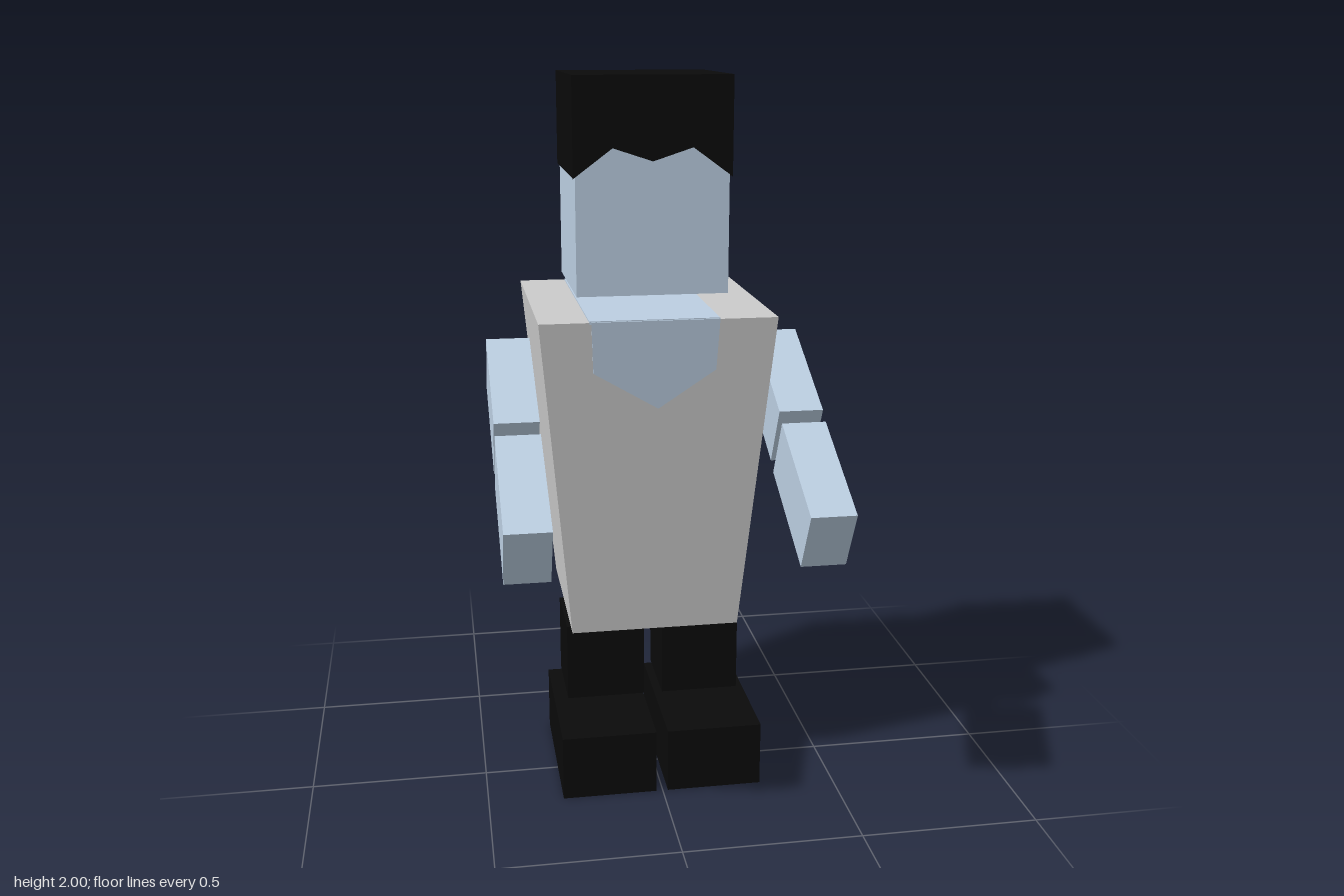
import * as THREE from 'three';

const material = (color) => new THREE.MeshStandardMaterial({ color, flatShading: true });

export function createModel() {
  const model = new THREE.Group();
  const grey = material(0xcccccc), skin = material(0xbccfe2), black = material(0x0a0a0a);

  const add = (name, geometry, mat) => {
    const mesh = new THREE.Mesh(geometry, mat);
    mesh.name = name;
    model.add(mesh);
    return mesh;
  };
  // Box given by its extents on each axis
  const block = (name, [x0, x1], [y0, y1], [z0, z1], mat) => {
    const mesh = add(name, new THREE.BoxGeometry(x1 - x0, y1 - y0, z1 - z0), mat);
    mesh.position.set((x0 + x1) / 2, (y0 + y1) / 2, (z0 + z1) / 2);
    return mesh;
  };
  // Flat plate cut from an outline of [x, y] points
  const plate = (name, points, depth, mat) => {
    const shape = new THREE.Shape(points.map(([x, y]) => new THREE.Vector2(x, y)));
    return add(name, new THREE.ExtrudeGeometry(shape, { depth, bevelEnabled: false }), mat);
  };

  // Torso: a box that widens towards the shoulders
  const torso = new THREE.BoxGeometry(1, 1, 1);
  const p = torso.attributes.position;
  for (let i = 0; i < p.count; i++) {
    const top = p.getY(i) > 0, right = p.getX(i) < 0, back = p.getZ(i) < 0;
    p.setXYZ(i,
      top ? (right ? -0.328 : 0.31) : (right ? -0.245 : 0.23),
      top ? 1.38 : 0.472,
      top ? (back ? -0.495 : 0.172) : (back ? -0.41 : 0.092));
  }
  torso.computeVertexNormals();
  add('torso', torso, grey);

  // Open collar: a strip over the shoulders and a pointed panel on the chest
  block('collarTop', [-0.195, 0.152], [1.375, 1.384], [-0.49, 0.172], skin);
  const chest = plate('chestPanel',
    [[-0.19, 0], [-0.185, -0.14], [-0.01, -0.245], [0.145, -0.14], [0.152, 0]], 0.008, skin);
  chest.position.set(0, 1.382, 0.168);
  chest.rotation.x = Math.atan2(0.08, 0.908);

  // Head
  block('head', [-0.214, 0.199], [1.425, 1.9], [-0.367, 0.046], skin);

  // Hair: cap with a zigzag fringe and a pointed nape
  block('hair', [-0.22, 0.206], [1.74, 2], [-0.373, 0.044], black);
  const fringe = plate('fringe',
    [[-0.22, 2], [-0.22, 1.737], [-0.115, 1.815], [-0.008, 1.78], [0.1, 1.815], [0.206, 1.738], [0.206, 2]],
    0.01, black);
  fringe.position.z = 0.043;
  const nape = plate('nape', [[-0.22, 2], [-0.22, 1.74], [-0.007, 1.69], [0.206, 1.74], [0.206, 2]], 0.01, black);
  nape.position.z = -0.376;

  // Arms: two separate segments, sloping down to the front
  for (const [side, x] of [['left', 0.386], ['right', -0.389]]) {
    for (const [part, y, z] of [['UpperArm', 1.111, -0.05], ['Forearm', 0.926, 0.297]]) {
      const arm = add(side + part, new THREE.BoxGeometry(0.122, 0.184, 0.355), skin);
      arm.position.set(x, y, z);
      arm.rotation.x = 0.467;
    }
  }

  // Legs and feet
  block('leftLeg', [0.035, 0.262], [0.2, 0.43], [-0.272, -0.047], black);
  block('rightLeg', [-0.248, -0.02], [0.2, 0.43], [-0.272, -0.047], black);
  block('leftFoot', [0.015, 0.286], [0, 0.187], [-0.276, 0.18], black);
  block('rightFoot', [-0.287, -0.018], [0, 0.187], [-0.276, 0.18], black);

  return model;
}
